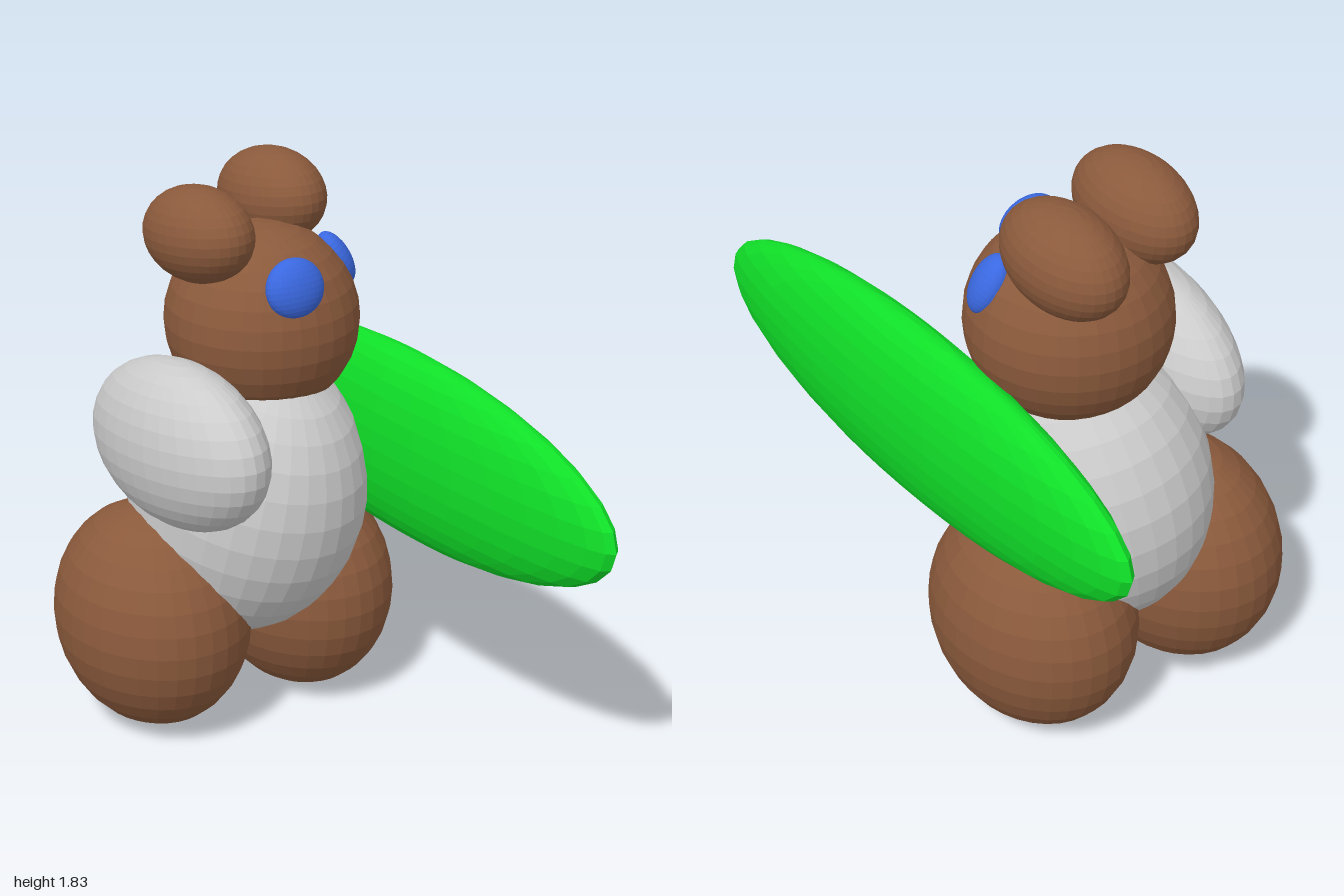
import * as THREE from 'three';

const material = (color) => new THREE.MeshStandardMaterial({ color, flatShading: true });

export function createModel() {
  const bear = new THREE.Group();
  bear.name = 'bear';

  const brown = material(0x8b5a3c);
  const grey = material(0xcccccc);
  const green = material(0x10e028);
  const blue = material(0x3a68e0);
  const ball = new THREE.SphereGeometry(1, 32, 16);

  // Every part is a stretched ball: centre, radii, optional tilt
  const blob = (name, mat, centre, radii, tilt = [0, 0, 0]) => {
    const mesh = new THREE.Mesh(ball, mat);
    mesh.name = name;
    mesh.position.set(...centre);
    mesh.scale.set(...radii);
    mesh.rotation.set(...tilt, 'YXZ');
    bear.add(mesh);
  };

  // Torso and head
  blob('torso', grey, [0.045, 0.77, -0.336], [0.37, 0.48, 0.41], [0.22, 0, -0.12]);
  blob('head', brown, [0.1, 1.35, -0.324], [0.307, 0.307, 0.307]);

  // Legs
  blob('rightLeg', brown, [-0.27, 0.385, -0.42], [0.302, 0.375, 0.362]);
  blob('leftLeg', brown, [0.274, 0.375, -0.382], [0.293, 0.37, 0.363]);

  // Ears, long from front to back
  blob('rightEar', brown, [-0.111, 1.652, -0.352], [0.146, 0.149, 0.222], [-0.1, 0, 0]);
  blob('leftEar', brown, [0.248, 1.68, -0.483], [0.147, 0.15, 0.22], [-0.1, 0, 0]);

  // Eyes, flattened against the head
  blob('rightEye', blue, [0.055, 1.523, -0.08], [0.1, 0.093, 0.055], [-0.25, 0, 0]);
  blob('leftEye', blue, [0.335, 1.515, -0.256], [0.065, 0.095, 0.046], [-0.5, 1.21, 0]);

  // Right arm, and the long green left arm
  blob('rightArm', grey, [-0.286, 1.058, -0.204], [0.184, 0.265, 0.421], [-0.12, 0, 0]);
  blob('leftArm', green, [0.415, 0.967, 0], [0.121, 0.313, 1]);

  return bear;
}
